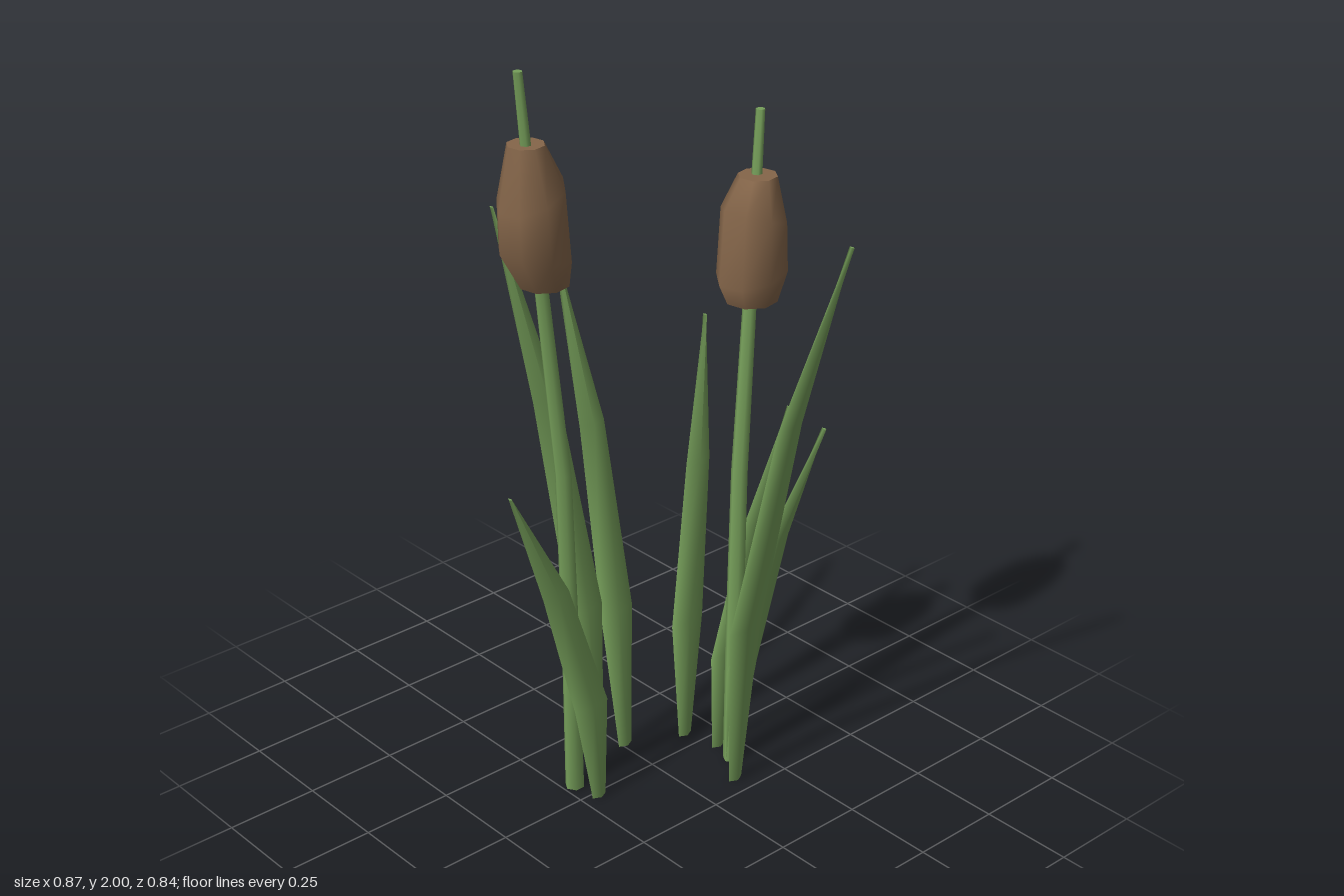
import * as THREE from 'three';

// Skin a stack of elliptical rings [x, y, z, halfX, halfZ, slope] and cap both ends.
function loft(rings, sides, turn = 0) {
  const pos = [], idx = [];
  const addRing = ([x, y, z, hx, hz, slope = 0]) => {
    for (let j = 0; j < sides; j++) {
      const a = turn + (j / sides) * Math.PI * 2;
      const dx = Math.cos(a) * hx;
      pos.push(x + dx, y + slope * dx, z + Math.sin(a) * hz);
    }
  };
  rings.forEach(addRing);
  for (let i = 0; i < rings.length - 1; i++) {
    for (let j = 0; j < sides; j++) {
      const k = (j + 1) % sides;
      const p = i * sides + j, q = i * sides + k;
      idx.push(p, p + sides, q, q, p + sides, q + sides);
    }
  }
  // end caps use their own vertices so the rims stay sharp
  [rings[0], rings[rings.length - 1]].forEach((ring, end) => {
    const start = pos.length / 3;
    addRing(ring);
    for (let j = 1; j < sides - 1; j++) {
      if (end) idx.push(start, start + j + 1, start + j);
      else idx.push(start, start + j, start + j + 1);
    }
  });
  const g = new THREE.BufferGeometry();
  g.setAttribute('position', new THREE.Float32BufferAttribute(pos, 3));
  g.setIndex(idx);
  g.computeVertexNormals();
  return g;
}

export function createModel() {
  const group = new THREE.Group();
  const green = new THREE.MeshStandardMaterial({ name: 'leaf green', color: 0x769f5a });
  const brown = new THREE.MeshStandardMaterial({ name: 'seed head brown', color: 0x85664a });

  const add = (name, geometry, material) => {
    const mesh = new THREE.Mesh(geometry, material);
    mesh.name = name;
    group.add(mesh);
  };

  // Leaves: height, then the blade centre [x, z] at base, widest point, upper bend and tip
  const leaves = [
    ['frontLeaf', 1.54, [0.12, 0.195], [0.13, 0.212], [0.19, 0.295], [0.262, 0.412]],
    ['backLeaf', 1.34, [0.01, -0.122], [0.013, -0.157], [0.022, -0.26], [0.034, -0.412]],
    ['backRightLeaf', 1.54, [-0.1, -0.108], [-0.11, -0.135], [-0.153, -0.23], [-0.208, -0.358]],
    ['backLeftLeaf', 1.14, [0.165, -0.052], [0.185, -0.068], [0.267, -0.12], [0.363, -0.202]],
    ['leftLeaf', 0.94, [0.195, 0.048], [0.22, 0.048], [0.315, 0.048], [0.432, 0.048]],
    ['frontLeftLeaf', 0.94, [0.18, 0.12], [0.205, 0.126], [0.298, 0.15], [0.408, 0.2]],
    ['rightLeaf', 0.94, [-0.2, 0.016], [-0.218, 0.01], [-0.315, -0.005], [-0.433, -0.028]],
  ];
  const heights = [0, 0.3, 0.68, 1];
  const halfWidths = [0.022, 0.054, 0.041, 0.004];
  const halfDepths = [0.011, 0.011, 0.011, 0.008];
  for (const [name, h, ...path] of leaves) {
    const rings = path.map(([x, z], i) => [x, h * heights[i], z, halfWidths[i], halfDepths[i]]);
    add(name, loft(rings, 4), green);
  }

  // Stems: tapering six-sided stalks that run through the seed heads
  add('tallStem', loft([
    [-0.217, 0, -0.063, 0.026, 0.026],
    [-0.228, 0.45, -0.057, 0.024, 0.024],
    [-0.25, 0.94, -0.048, 0.022, 0.022],
    [-0.312, 1.46, -0.042, 0.018, 0.018],
    [-0.374, 2, -0.033, 0.012, 0.012],
  ], 6), green);
  add('shortStem', loft([
    [0.182, 0, 0.118, 0.026, 0.026],
    [0.19, 0.4, 0.11, 0.024, 0.024],
    [0.215, 0.84, 0.092, 0.022, 0.022],
    [0.257, 1.3, 0.075, 0.018, 0.018],
    [0.305, 1.78, 0.05, 0.012, 0.012],
  ], 6), green);

  // Seed heads: faceted barrels leaning along their stems
  add('tallSeedHead', loft([
    [-0.3, 1.46, -0.045, 0.062, 0.062],
    [-0.325, 1.54, -0.045, 0.093, 0.086, -0.2],
    [-0.334, 1.69, -0.045, 0.085, 0.083, 0.35],
    [-0.348, 1.82, -0.042, 0.046, 0.046],
  ], 8, 0.2), brown);
  add('shortSeedHead', loft([
    [0.262, 1.3, 0.073, 0.068, 0.068],
    [0.267, 1.37, 0.07, 0.095, 0.088, 0.2],
    [0.272, 1.52, 0.068, 0.085, 0.083, -0.3],
    [0.285, 1.62, 0.066, 0.05, 0.05],
  ], 8, 0.2), brown);

  return group;
}
